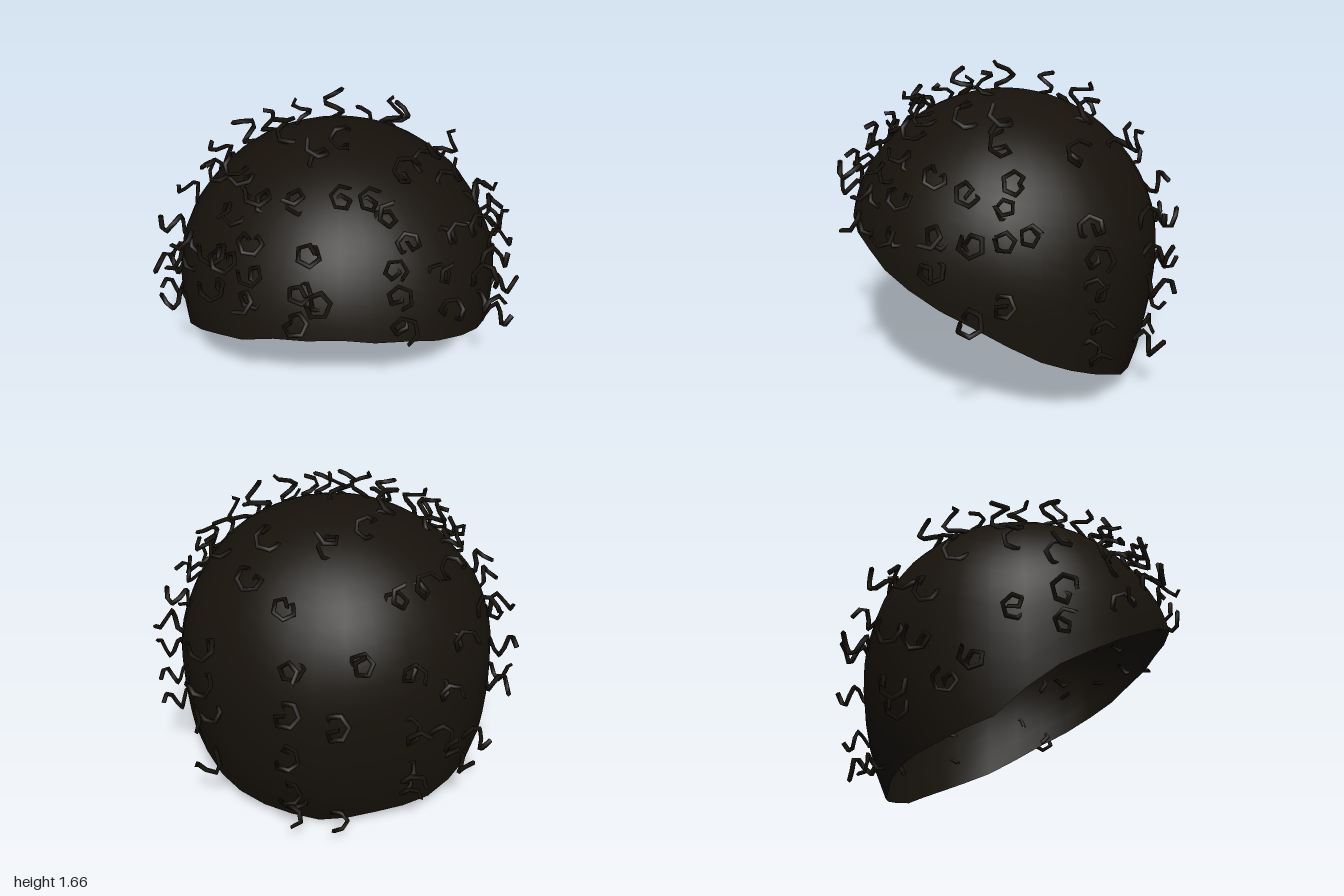
import * as THREE from 'three';

const RX = 0.85, RZ = 0.825, CY = 0.72, TOP = 0.82, LOW = 1.21;

// Rim height every 22.5 degrees, from the front (+z) round through +x
const RIM = [0.92, 0.86, 0.75, 0.6, 0.42, 0.27, 0.13, 0.06, 0.01, 0.07, 0.1, 0.18, 0.42, 0.6, 0.77, 0.89];

// Curls over the crown, as x, z
const CROWN = [
  [-0.25, -0.05], [0, 0.1], [-0.1, 0.19], [0.28, 0.25], [0.52, 0.13], [0.28, -0.32], [0.15, -0.63],
  [-0.02, -0.38], [-0.17, -0.25], [-0.57, -0.22], [-0.45, -0.42], [-0.35, -0.52], [0.32, -0.5],
  [0.55, -0.2], [0.4, 0.1], [-0.48, 0.1], [-0.42, 0.23], [-0.58, 0.02], [0, 0.42], [-0.2, 0.4],
  [-0.35, 0.35], [-0.5, 0.33], [0.2, 0.47], [0.12, 0.42], [0.3, 0.53], [-0.4, 0.5], [-0.55, 0.45],
  [0.5, 0.42], [0.65, 0.1], [0.62, 0.3], [-0.14, 0.6],
];

// Columns of curls down the sides: azimuth in degrees, then heights
const COLUMNS = [
  [-68, 0.78, 1.0, 1.1], [-45, 1.03, 1.15], [-32, 1.05, 1.15], [-14, 1.0, 1.13], [-7, 1.1],
  [20, 0.97, 1.1, 1.2], [38, 0.98, 1.13], [55, 0.87, 1.02], [68, 0.66, 1.0], [78, 0.74, 1.02, 1.15],
  [86, 1.04], [108, 0.44, 0.6, 0.77, 0.92, 1.05], [140, 0.32, 0.63, 0.8, 0.98],
  [173, 0.2, 0.33, 0.57, 0.8, 1.0], [188, 0.15, 0.75], [196, 1.04], [212, 0.3, 0.4, 0.67, 0.97],
  [225, 0.57, 0.83], [234, 0.35, 1.03], [243, 0.43], [255, 0.67, 1.08], [270, 0.6, 0.76, 1.0],
];

let seed = 7;
const rand = () => (seed = (seed * 16807) % 2147483647) / 2147483647;

// Polar angle at which the scalp reaches height y
function polarAt(y) {
  const d = y - CY;
  return Math.acos(d / (d > 0 ? TOP : LOW));
}

function rimAngle(az) {
  const f = (az / (Math.PI * 2)) * 16;
  const i = Math.floor(f);
  return polarAt(THREE.MathUtils.lerp(RIM[i % 16], RIM[(i + 1) % 16], f - i));
}

// Point on the scalp: round above, longer below, with nearly upright sides
function scalp(az, t) {
  const c = Math.cos(t), s = Math.sin(t);
  const bump = 1 + 0.008 * Math.sin(5 * az + 3 * t) * s + 0.006 * Math.sin(9 * az - 4 * t) * s;
  const side = c > 0 ? s : Math.pow(s, 0.5);
  return new THREE.Vector3(
    RX * side * Math.sin(az) * bump - 0.008 * s,
    CY + c * (c > 0 ? TOP : LOW),
    RZ * s * Math.cos(az) * bump + 0.012 * s
  );
}

// Open shell swept from the crown down to the sloping rim
function shellGeometry(cols = 32, rows = 18) {
  const pos = [], index = [];
  for (let i = 0; i <= rows; i++) {
    for (let j = 0; j < cols; j++) {
      const az = (j / cols) * Math.PI * 2;
      pos.push(...scalp(az, (i / rows) * rimAngle(az)).toArray());
    }
  }
  for (let i = 0; i < rows; i++) {
    for (let j = 0; j < cols; j++) {
      const k = (j + 1) % cols;
      const a = i * cols + j, b = a + cols, c = (i + 1) * cols + k, d = i * cols + k;
      index.push(a, b, c);
      if (i > 0) index.push(a, c, d);
    }
  }
  const g = new THREE.BufferGeometry();
  g.setAttribute('position', new THREE.Float32BufferAttribute(pos, 3));
  g.setIndex(index);
  g.computeVertexNormals();
  return g;
}

// Angular coil rising along +y, about five straight pieces per turn
class Coil extends THREE.Curve {
  getPoint(u, target = new THREE.Vector3()) {
    const a = u * Math.PI * 2 * 1.35;
    const r = 0.05;
    return target.set(r * Math.cos(a), -0.025 + 0.16 * u, r * Math.sin(a));
  }
}

export function createModel() {
  const group = new THREE.Group();
  group.name = 'curlyHair';
  const material = new THREE.MeshStandardMaterial({ color: 0x17120b, side: THREE.DoubleSide });

  const shell = new THREE.Mesh(shellGeometry(), material);
  shell.name = 'hairShell';
  group.add(shell);

  const curls = new THREE.Group();
  curls.name = 'curls';
  group.add(curls);
  const curlGeometry = new THREE.TubeGeometry(new Coil(), 7, 0.013, 4, false);
  const up = new THREE.Vector3(0, 1, 0);

  // Each curl stands on the scalp along its normal, turned at random
  function addCurl(az, t) {
    const curl = new THREE.Mesh(curlGeometry, material);
    curl.name = 'curl';
    curl.position.copy(scalp(az, t));
    const { x, y, z } = curl.position;
    const h = y - CY;
    const n = new THREE.Vector3(x / RX ** 2, h / (h > 0 ? TOP : LOW) ** 2, z / RZ ** 2).normalize();
    curl.quaternion.setFromUnitVectors(up, n);
    curl.rotateY(rand() * Math.PI * 2);
    curl.scale.setScalar(0.88 + 0.2 * rand());
    curls.add(curl);
  }

  for (const [x, z] of CROWN) {
    addCurl(Math.atan2(x / RX, z / RZ), Math.asin(Math.hypot(x / RX, z / RZ)));
  }
  for (const [deg, ...heights] of COLUMNS) {
    for (const y of heights) addCurl(THREE.MathUtils.degToRad(deg), polarAt(y));
  }

  return group;
}
